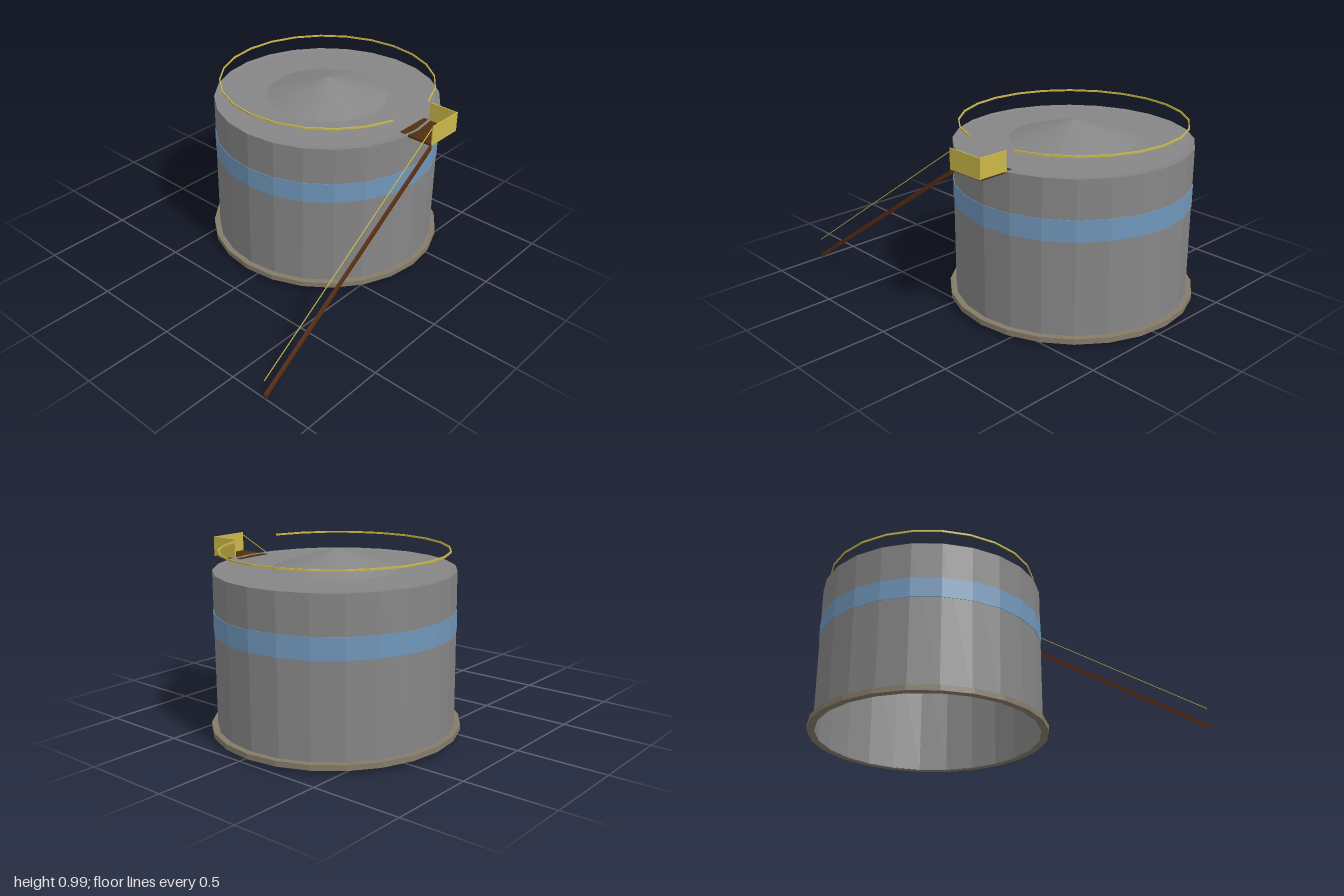
import * as THREE from 'three';

const SIDES = 24;
const material = (name, color, extra = {}) =>
  Object.assign(new THREE.MeshStandardMaterial({ color, flatShading: true, ...extra }), { name });

export function createModel() {
  const steel = material('grey steel', 0x868686, { side: THREE.DoubleSide });
  const blue = material('blue band', 0x7096ba);
  const taupe = material('taupe footing', 0x857b69);
  const yellow = material('safety yellow', 0xccb84a, { side: THREE.DoubleSide });
  const brown = material('brown stair', 0x5c2e14);
  const deck = material('dark brown deck', 0x523010);

  const model = new THREE.Group();
  model.name = 'storageTank';
  const tank = new THREE.Group();
  tank.name = 'tank';
  tank.position.set(0.325, 0, -0.055);
  model.add(tank);

  const add = (parent, name, geometry, mat, x = 0, y = 0, z = 0) => {
    const mesh = new THREE.Mesh(geometry, mat);
    mesh.name = name;
    mesh.position.set(x, y, z);
    parent.add(mesh);
  };
  const lathe = (points, ...rest) =>
    new THREE.LatheGeometry(points.map(([r, y]) => new THREE.Vector2(r, y)), ...rest);
  // Faceted ring with a rectangular section
  const ring = (rIn, rOut, y0, y1, segments = SIDES, start = 0, length = Math.PI * 2) =>
    lathe([[rIn, y0], [rOut, y0], [rOut, y1], [rIn, y1], [rIn, y0]], segments, start, length);

  // Open-bottomed shell, footing and painted band
  add(tank, 'wall', ring(0.63, 0.64, 0.03, 0.89), steel);
  add(tank, 'footing', ring(0.632, 0.673, 0.028, 0.058), taupe);
  add(tank, 'band', ring(0.627, 0.643, 0.567, 0.682), blue);

  // Roof with raised rim and central cone
  add(tank, 'roof', lathe([[0.64, 0.892], [0.605, 0.888], [0.342, 0.89], [0, 0.998]], SIDES), steel);

  // Guard rail, open for two facets at the platform
  const step = (Math.PI * 2) / SIDES;
  add(tank, 'guardRail', ring(0.602, 0.608, 0.985, 0.995, SIDES - 2, step, step * (SIDES - 2)), yellow);

  // Platform: deck with panels on the front and left sides
  add(model, 'deck', new THREE.BoxGeometry(0.214, 0.011, 0.2), deck, 0.354, 0.8845, 0.621);
  add(model, 'frontPanel', new THREE.BoxGeometry(0.219, 0.11, 0.006), yellow, 0.3555, 0.94, 0.724);
  add(model, 'sidePanel', new THREE.BoxGeometry(0.006, 0.106, 0.168), yellow, 0.462, 0.942, 0.641);

  // Sloping bars with vertical ends
  const bar = (y0, y1, height, depth) => {
    const shape = new THREE.Shape([[-1, y0], [0.247, y1], [0.247, y1 + height], [-1, y0 + height]]
      .map(([x, y]) => new THREE.Vector2(x, y)));
    return new THREE.ExtrudeGeometry(shape, { depth, bevelEnabled: false });
  };
  add(model, 'stair', bar(0.004, 0.858, 0.025, 0.013), brown, 0, 0, 0.713);
  add(model, 'stairRail', bar(0.117, 0.977, 0.005, 0.004), yellow, 0, 0, 0.717);

  return model;
}
